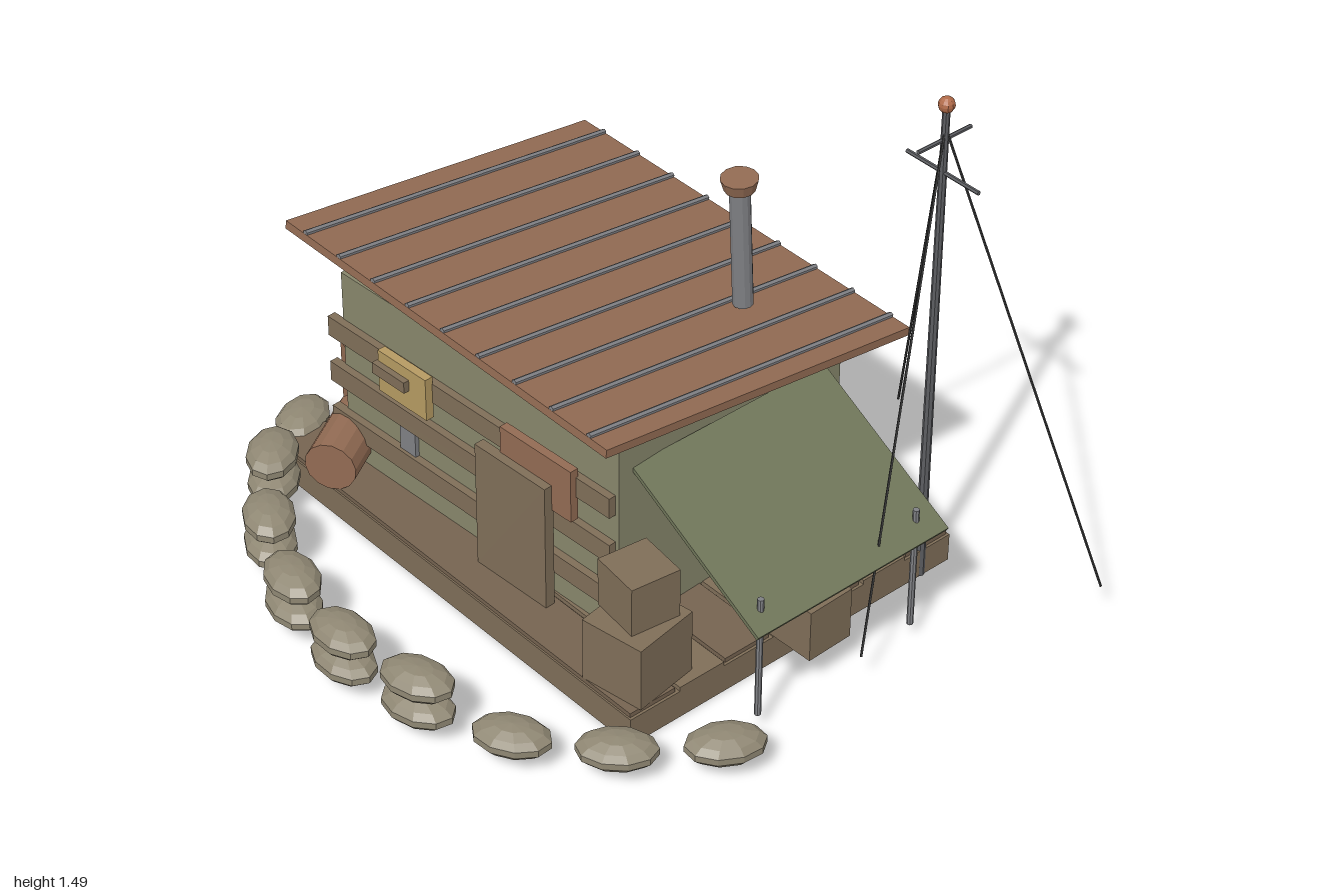
import * as THREE from 'three';

const WOOD = 0x7f6e58, DARKWOOD = 0x756350, WALL = 0x87866b, RUST = 0x926b53, GREEN = 0x6f7559,
  METAL = 0x7f8084, MAST = 0x5c5d61, WIRE = 0x3a3a3a, SIGN = 0xb59a62, BAG = 0x8f8773, COPPER = 0xb06a48;

const mats = {};
function mat(color) {
  return (mats[color] ??= new THREE.MeshStandardMaterial({ color, flatShading: true }));
}

function add(parent, name, geo, color, x = 0, y = 0, z = 0, ry = 0) {
  const m = new THREE.Mesh(geo, mat(color));
  m.name = name;
  m.position.set(x, y, z);
  m.rotation.y = ry;
  parent.add(m);
  return m;
}

const box = (w, h, d) => new THREE.BoxGeometry(w, h, d);

// Straight round bar between two points
function rod(parent, name, a, b, r, color, sides = 6) {
  const p = new THREE.Vector3(...a), q = new THREE.Vector3(...b);
  const m = add(parent, name, new THREE.CylinderGeometry(r, r, p.distanceTo(q), sides), color);
  m.position.copy(p).add(q).multiplyScalar(0.5);
  m.quaternion.setFromUnitVectors(new THREE.Vector3(0, 1, 0), q.sub(p).normalize());
  return m;
}

function group(parent, name) {
  const g = new THREE.Group();
  g.name = name;
  parent.add(g);
  return g;
}

export function createModel() {
  const model = new THREE.Group();
  model.name = 'outpost';

  // Deck: solid base with boards on top
  const deck = group(model, 'deck');
  add(deck, 'base', box(1.455, 0.085, 1.11), WOOD, -0.15, 0.0425, -0.09);
  for (let i = 0; i < 7; i++) {
    add(deck, 'deckBoard', box(1.44 + (i % 2) * 0.015, 0.014, 0.148), i % 2 ? WOOD : DARKWOOD,
      -0.15, 0.091, -0.565 + i * 0.1585);
  }

  // Hut body, turned slightly on the deck
  const hut = group(model, 'hut');
  hut.position.set(-0.22, 0, -0.085);
  hut.rotation.y = 0.055;
  add(hut, 'walls', box(1.045, 0.595, 0.795), WALL, 0, 0.393, 0);
  for (const y of [0.215, 0.362, 0.51]) {
    add(hut, 'wallPlank', box(1.07, 0.062, 0.025), WOOD, -0.025, y, 0.407);
  }
  add(hut, 'window', box(0.06, 0.16, 0.02), METAL, -0.265, 0.28, 0.4);
  add(hut, 'signBoard', box(0.185, 0.13, 0.025), SIGN, -0.24, 0.498, 0.43);
  add(hut, 'signPointer', box(0.125, 0.034, 0.02), WOOD, -0.275, 0.512, 0.45);
  add(hut, 'rustPatch', box(0.26, 0.16, 0.025), RUST, 0.26, 0.487, 0.425);
  add(hut, 'door', box(0.26, 0.39, 0.03), WOOD, 0.19, 0.29, 0.447);
  add(hut, 'sidePatch', box(0.02, 0.1, 0.295), RUST, 0.53, 0.297, -0.136);

  // Sloping ribbed roof
  const roof = group(model, 'roof');
  roof.position.set(-0.205, 0.751, -0.09);
  roof.rotation.x = -0.12;
  add(roof, 'roofSheet', box(1.278, 0.024, 1.025), RUST);
  for (let i = 0; i < 9; i++) {
    const x = -0.557 + i * 0.141;
    rod(roof, 'roofRib', [x, 0.014, -0.512], [x, 0.014, 0.512], 0.009, METAL);
  }

  // Leaning chimney with flared cap
  const chimney = group(model, 'chimney');
  chimney.position.set(0.125, 0.75, -0.306);
  chimney.rotation.x = 0.055;
  add(chimney, 'pipe', new THREE.CylinderGeometry(0.028, 0.028, 0.37, 12), METAL, 0, 0.185, 0);
  add(chimney, 'cap', new THREE.CylinderGeometry(0.05, 0.041, 0.034, 12), RUST, 0, 0.377, 0);

  // Mast with cross bars, ball and guy wires
  const mast = group(model, 'mast');
  const mx = 0.567, mz = -0.548;
  add(mast, 'pole', new THREE.CylinderGeometry(0.01, 0.015, 1.46, 8), MAST, mx, 0.73, mz);
  add(mast, 'ball', new THREE.SphereGeometry(0.022, 10, 8), COPPER, mx, 1.465, mz);
  rod(mast, 'lowerBar', [mx - 0.124, 1.27, mz], [mx + 0.124, 1.27, mz], 0.006, MAST);
  rod(mast, 'upperBar', [mx, 1.365, mz - 0.09], [mx, 1.365, mz + 0.09], 0.006, MAST);
  for (const [x, z] of [[0.08, -0.94], [0.995, -0.778], [0.79, -0.12]]) {
    rod(mast, 'guyWire', [mx, 1.4, mz], [x, 0.1, z], 0.0035, WIRE, 5);
  }

  // Side awning on two posts
  const awning = group(model, 'awning');
  const sheet = add(awning, 'awningSheet', box(0.535, 0.012, 0.65), GREEN, 0.548, 0.48, -0.09);
  sheet.rotation.z = -0.493;
  for (const z of [0.18, -0.35]) {
    rod(awning, 'awningPost', [0.733, 0.045, z], [0.733, 0.42, z], 0.009, METAL, 8);
  }

  // Crates under the awning
  const crates = group(model, 'crates');
  add(crates, 'crate', box(0.19, 0.19, 0.2), WOOD, 0.468, 0.194, 0.348, 0.16);
  add(crates, 'smallCrate', box(0.15, 0.147, 0.145), WOOD, 0.453, 0.362, 0.33, -0.12);
  add(crates, 'longCrate', box(0.27, 0.155, 0.145), WOOD, 0.578, 0.175, -0.08, 0.03);

  // Barrels, two standing and one lying
  const barrels = group(model, 'barrels');
  const barrel = (r, h) => new THREE.CylinderGeometry(r, r, h, 14);
  add(barrels, 'greenBarrel', barrel(0.085, 0.24), WALL, -0.913, 0.22, -0.075);
  add(barrels, 'rustBarrel', barrel(0.085, 0.24), RUST, -0.83, 0.22, 0.172);
  rod(barrels, 'lyingBarrel', [-0.755, 0.165, 0.27], [-0.63, 0.165, 0.473], 0.073, RUST, 14);

  // Curved wall of sandbags, doubled along part of the arc
  const bags = group(model, 'sandbags');
  const bagGeo = new THREE.SphereGeometry(1, 10, 7);
  bagGeo.scale(0.108, 0.043, 0.072);
  for (let i = 0; i < 9; i++) {
    const t = (i - 4) * 0.26;
    const x = -0.068 + Math.sin(t), z = -0.188 + 1.05 * Math.cos(t);
    add(bags, 'sandbag', bagGeo, BAG, x, 0.085, z, t);
    if (i >= 1 && i <= 5) add(bags, 'upperSandbag', bagGeo, BAG, x, 0.172, z, t);
  }
  return model;
}
